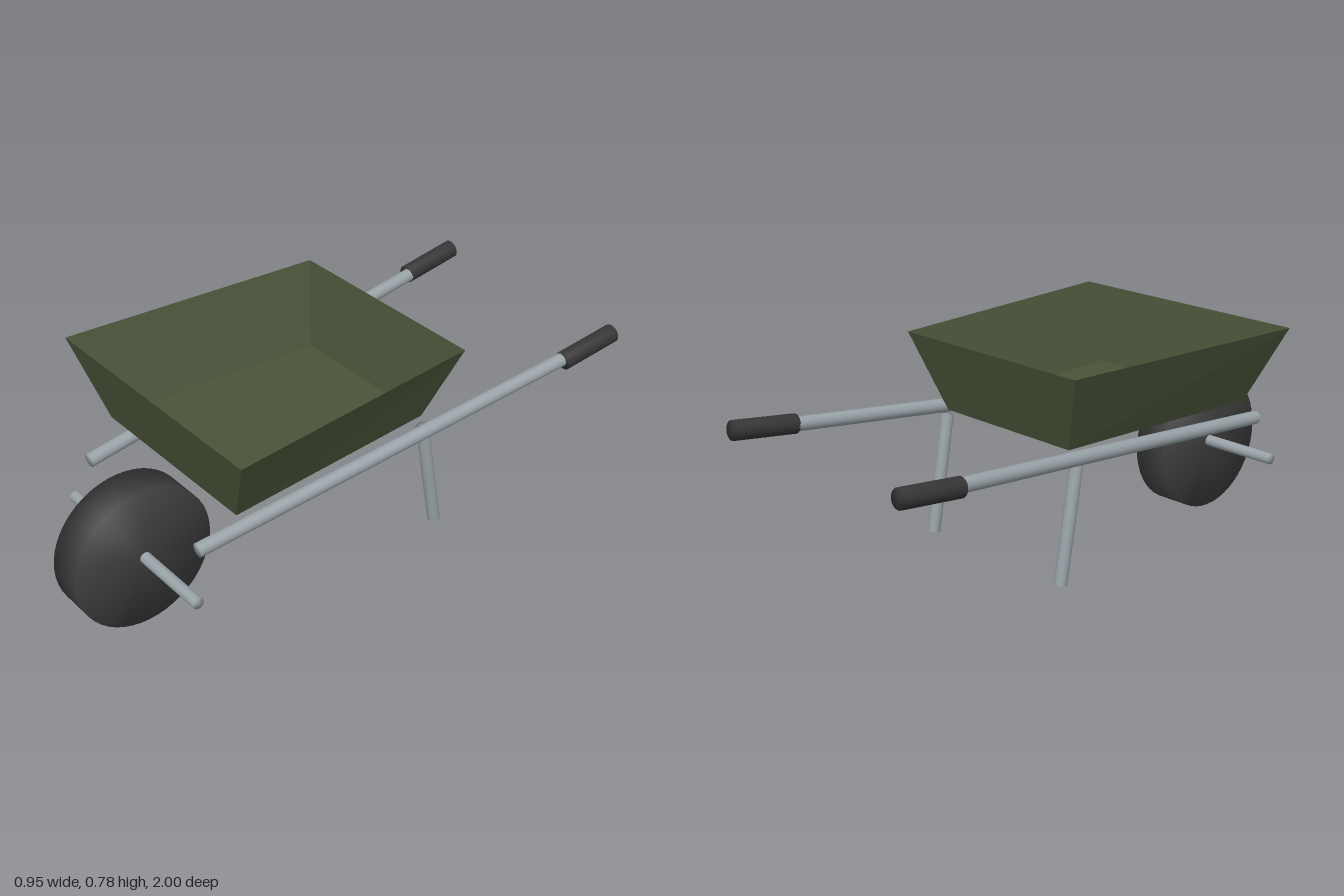
import * as THREE from 'three';
import { mergeVertices } from 'three/addons/utils/BufferGeometryUtils.js';

const material = (name, color) => {
  const m = new THREE.MeshStandardMaterial({ color });
  m.name = name;
  return m;
};

// Cylinder between two points, with normals blended softly over its rims
function rod(name, from, to, radius, mat, sides = 24) {
  const a = new THREE.Vector3(...from), b = new THREE.Vector3(...to);
  const axis = b.clone().sub(a);
  let geo = new THREE.CylinderGeometry(radius, radius, axis.length(), sides);
  geo.deleteAttribute('normal');
  geo.deleteAttribute('uv');
  geo = mergeVertices(geo, 1e-4);
  geo.computeVertexNormals();
  const mesh = new THREE.Mesh(geo, mat);
  mesh.name = name;
  mesh.position.copy(a).add(b).multiplyScalar(0.5);
  mesh.quaternion.setFromUnitVectors(new THREE.Vector3(0, 1, 0), axis.normalize());
  return mesh;
}

// Open tray of thin sheet: four sloping walls and a floor
function makeTray(mat) {
  const ring = (y, front, frontHalf, back, backHalf) => [
    [-frontHalf, y, front], [frontHalf, y, front], [backHalf, y, back], [-backHalf, y, back],
  ];
  const floor = ring(0.51, 0.585, 0.345, -0.215, 0.29);
  const rim = ring(0.78, 0.655, 0.475, -0.295, 0.395);
  const points = [];
  const quad = (a, b, c, d) => points.push(...a, ...b, ...c, ...a, ...c, ...d);
  for (let i = 0; i < 4; i++) {
    const j = (i + 1) % 4;
    quad(floor[i], floor[j], rim[j], rim[i]);
  }
  quad(floor[3], floor[2], floor[1], floor[0]);
  const geo = new THREE.BufferGeometry();
  geo.setAttribute('position', new THREE.Float32BufferAttribute(points, 3));
  geo.computeVertexNormals();
  const mesh = new THREE.Mesh(geo, mat);
  mesh.name = 'tray';
  return mesh;
}

export function createModel() {
  const green = material('olive green', 0x4a5339);
  green.side = THREE.DoubleSide;
  const metal = material('grey metal', 0x98a2a7);
  const rubber = material('black rubber', 0x3d3d3d);
  const gripRubber = material('grip rubber', 0x373536);

  const model = new THREE.Group();
  model.name = 'wheelbarrow';
  model.add(makeTray(green));

  // Wheel and axle
  model.add(rod('wheel', [-0.066, 0.253, 0.747], [0.066, 0.253, 0.747], 0.253, rubber, 48));
  model.add(rod('axle', [-0.355, 0.255, 0.745], [0.355, 0.255, 0.745], 0.02, metal));

  // Handles, grips and legs on both sides
  for (const [side, s] of [['left', 1], ['right', -1]]) {
    model.add(rod(side + 'Handle', [s * 0.305, 0.41, 0.705], [s * 0.394, 0.567, -0.8], 0.024, metal));
    model.add(rod(side + 'Grip', [s * 0.401, 0.563, -0.765], [s * 0.409, 0.592, -0.996], 0.033, gripRubber));
    model.add(rod(side + 'Leg', [s * 0.313, 0.487, -0.2], [s * 0.313, 0.074, -0.274], 0.022, metal));
  }
  return model;
}
